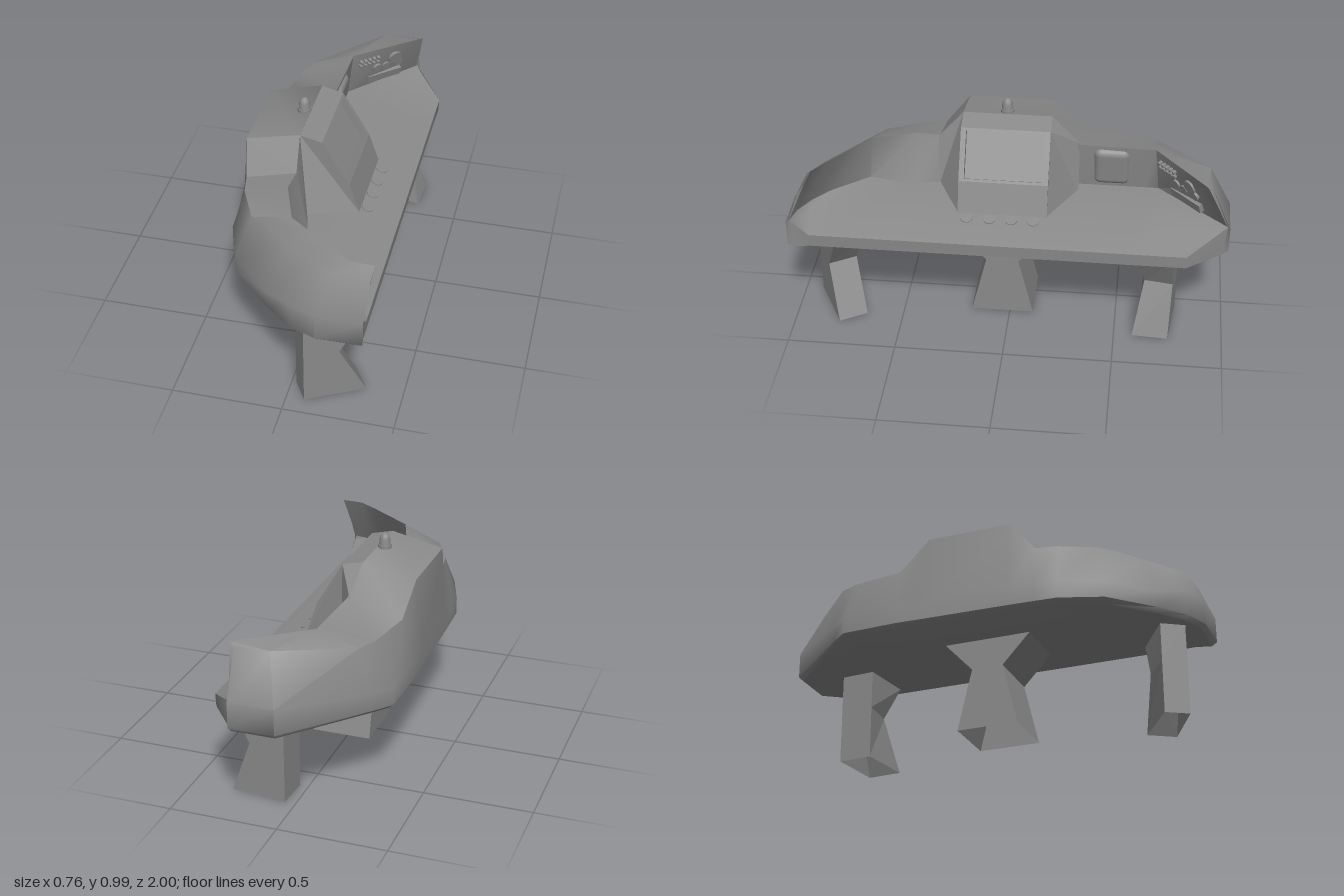
import * as THREE from 'three';
import { toCreasedNormals } from 'three/addons/utils/BufferGeometryUtils.js';
import { RoundedBoxGeometry } from 'three/addons/geometries/RoundedBoxGeometry.js';

const darkGrey = 0x8a8a8a;
const solid = new THREE.MeshStandardMaterial({ color: darkGrey });
const open = new THREE.MeshStandardMaterial({ color: darkGrey, side: THREE.DoubleSide });

function add(parent, name, geometry, x = 0, y = 0, z = 0, material = solid) {
  const mesh = new THREE.Mesh(geometry, material);
  mesh.name = name;
  mesh.position.set(x, y, z);
  parent.add(mesh);
  return mesh;
}

// Flat-shaded geometry from a list of polygons, each a list of [x, y, z]
function polygons(list) {
  const pos = [];
  for (const p of list)
    for (let i = 1; i < p.length - 1; i++) pos.push(...p[0], ...p[i], ...p[i + 1]);
  const g = new THREE.BufferGeometry();
  g.setAttribute('position', new THREE.Float32BufferAttribute(pos, 3));
  g.computeVertexNormals();
  return g;
}

// Plan of the wall from back to front, as [x, z]: outline, outer crease, inner rim, inner foot
const plan = [
  [[0.21, -1], [0.21, -0.905], [0.24, -0.89], [0.2, -0.99]],
  [[0, -1], [0.05, -0.9], [0.23, -0.885], [0.19, -0.98]],
  [[-0.31, -0.65], [-0.25, -0.65], [-0.06, -0.65], [-0.09, -0.67]],
  [[-0.375, -0.57], [-0.29, -0.56], [-0.06, -0.61], [-0.09, -0.61]],
  [[-0.385, -0.3], [-0.33, -0.31], [-0.07, -0.3], [-0.09, -0.3]],
  [[-0.38, -0.16], [-0.345, -0.16], [-0.1, -0.17], [-0.09, -0.17]],
  [[-0.37, 0.24], [-0.345, 0.24], [-0.1, 0.24], [-0.09, 0.24]],
  [[-0.365, 0.36], [-0.32, 0.35], [-0.09, 0.35], [-0.04, 0.36]],
  [[-0.36, 0.46], [-0.3, 0.45], [-0.1, 0.46], [-0.01, 0.47]],
  [[-0.29, 0.66], [-0.22, 0.62], [-0.03, 0.66], [-0.05, 0.68]],
  [[-0.1, 0.85], [-0.02, 0.77], [0.11, 0.765], [0.08, 0.84]],
  [[0.03, 0.955], [0.1, 0.86], [0.19, 0.825], [0.17, 0.915]],
  [[0.15, 1], [0.2, 0.92], [0.28, 0.885], [0.26, 0.965]],
  [[0.357, 0.998], [0.37, 0.93], [0.38, 0.89], [0.345, 0.985]],
];

// Closed cross-section: up the outer wall, over the rim, across the desk, down its edge
function section([[x, z], crease, rim, foot]) {
  const edgeZ = THREE.MathUtils.clamp(z, -0.81, 0.9);
  const hump = z > -0.2 && z < 0.3 ? 1 : 0;
  const creaseY = 0.737 + 0.133 * hump + (z < -0.9 ? 0.05 : 0);
  const t = Math.max(0.15, (0.16 - foot[0]) / (0.35 - foot[0]));
  const bend = [0.35 * t + foot[0] * (1 - t), 0.552, edgeZ * t + foot[1] * (1 - t)];
  return [
    [0.1 + (x - 0.1) * 0.95, 0.428, z * 0.978], [x, 0.45, z], [x, Math.abs(z) > 0.9 ? 0.57 : 0.53, z],
    [crease[0], creaseY, crease[1]], [rim[0], 0.798 + 0.127 * hump, rim[1]],
    [foot[0], 0.572, foot[1]], bend, [0.35, 0.498, edgeZ], [0.347, 0.438, edgeZ],
  ];
}

function bodyGeometry() {
  const rings = plan.map(section), n = rings[0].length, faces = [];
  for (let i = 0; i < rings.length - 1; i++)
    for (let k = 0; k < n; k++) {
      const m = (k + 1) % n;
      faces.push([rings[i][k], rings[i + 1][k], rings[i + 1][m], rings[i][m]]);
    }
  // End caps fan out from the foot of the wall
  const cap = (ring) => Array.from({ length: n }, (_, k) => ring[(k + 5) % n]);
  const end = cap(rings[rings.length - 1]);
  faces.push(cap(rings[0]), [end[0], ...end.slice(1).reverse()]);
  return toCreasedNormals(polygons(faces), 0.8);
}

// Monitor housing with flared cheeks and a sunken screen
function monitorGeometry() {
  const side = (zt, zw) => ({
    T: [-0.1, 0.924, zt], F: [0, 0.9, zt], M: [0.125, 0.69, zt], D: [0.175, 0.54, zt],
    wt: [-0.08, 0.8, zw], wb: [-0.04, 0.55, zw],
  });
  const a = side(-0.17, -0.3), b = side(0.24, 0.355);
  const outer = [a.F, b.F, b.M, a.M];
  const face = (u, v, depth) => [
    0.125 * v - 0.86 * depth, 0.9 - 0.21 * v - 0.51 * depth, -0.17 + 0.41 * u];
  const corners = [[0.06, 0.05], [0.94, 0.05], [0.94, 0.95], [0.06, 0.95]];
  const inner = corners.map(([u, v]) => face(u, v, 0));
  const sunk = corners.map(([u, v]) => face(u, v, 0.03));
  const list = [
    [b.T, b.wt, b.wb, b.D, b.M, b.F], [a.F, a.M, a.D, a.wb, a.wt, a.T],
    [a.T, b.T, b.F, a.F], [a.M, b.M, b.D, a.D], sunk,
  ];
  for (let i = 0; i < 4; i++) {
    const j = (i + 1) % 4;
    list.push([outer[i], outer[j], inner[j], inner[i]], [inner[i], inner[j], sunk[j], sunk[i]]);
  }
  return polygons(list);
}

// Hollow leg from rings of four [x, z] corners at given heights
function legGeometry(levels) {
  const list = [];
  const point = ([y, ring], k) => [ring[k][0], y, ring[k][1]];
  for (let i = 0; i < levels.length - 1; i++)
    for (let k = 0; k < 4; k++) {
      const m = (k + 1) % 4, low = levels[i], high = levels[i + 1];
      list.push([point(low, k), point(low, m), point(high, m), point(high, k)]);
    }
  return polygons(list);
}

export function createModel() {
  const model = new THREE.Group();
  model.name = 'controlDesk';
  add(model, 'deskBody', bodyGeometry(), 0, 0, 0, open);
  add(model, 'monitor', monitorGeometry(), 0, 0, 0, open);

  // Legs, each pinched at the waist
  const front = (x1, z1, x2, z2) => [[0.02, 0.82], [0.08, 0.92], [x1, z1], [x2, z2]];
  add(model, 'frontLeg', legGeometry([
    [0, front(0.333, 0.79, 0.26, 0.67)], [0.25, front(0.222, 0.847, 0.15, 0.73)],
    [0.44, front(0.333, 0.79, 0.26, 0.68)]]), 0, 0, 0, open);
  const middle = (z0, z1) => [[-0.11, z0], [-0.11, z1], [0.17, z1], [0.17, z0]];
  add(model, 'middleLeg', legGeometry([
    [0, middle(-0.11, 0.18)], [0.29, middle(-0.04, 0.11)],
    [0.44, middle(-0.18, 0.25)]]), 0, 0, 0, open);
  const back = (x1, z1, x2, z2) => [[0.05, -0.78], [0.04, -0.62], [x1, z1], [x2, z2]];
  add(model, 'backLeg', legGeometry([
    [0, back(0.3, -0.585, 0.31, -0.75)], [0.25, back(0.2, -0.63, 0.22, -0.76)],
    [0.44, back(0.3, -0.59, 0.31, -0.75)]]), 0, 0, 0, open);

  // Beacon on the hump
  add(model, 'beaconCollar', new THREE.CylinderGeometry(0.031, 0.031, 0.016, 24), -0.13, 0.928, 0.04);
  const dome = [[0.027, 0], [0.024, 0.035], [0.019, 0.05], [0.01, 0.059], [0, 0.061]];
  add(model, 'beaconDome', new THREE.LatheGeometry(dome.map(([r, y]) => new THREE.Vector2(r, y)), 24),
    -0.13, 0.93, 0.04);

  // Round buttons along the sloping desk top
  for (const z of [-0.11, -0.01, 0.09, 0.195])
    add(model, 'deskButton', new THREE.CylinderGeometry(0.027, 0.027, 0.014, 20), 0.2, 0.538, z)
      .rotation.z = -0.276;

  // Padded panel on the inner wall
  add(model, 'wallPad', new RoundedBoxGeometry(0.07, 0.2, 0.17, 5, 0.034), -0.095, 0.685, -0.45)
    .rotation.z = -0.13;

  // Instruments on the angled back panel; local x runs along it, z faces the operator
  const panel = new THREE.Group();
  panel.name = 'instrumentPanel';
  const along = new THREE.Vector3(0.29, 0, -0.27).normalize();
  const up = new THREE.Vector3(0.035, 0.23, 0.06);
  const out = new THREE.Vector3().crossVectors(along, up).normalize();
  up.crossVectors(out, along);
  panel.applyMatrix4(new THREE.Matrix4().makeBasis(along, up, out));
  panel.position.set(0.08, 0.685, -0.795);
  model.add(panel);
  for (let row = 0; row < 2; row++)
    for (let col = 0; col < 5; col++)
      add(panel, 'smallKey', new THREE.BoxGeometry(0.014, 0.012, 0.02),
        -0.16 + col * 0.024, 0.07 - row * 0.025, 0);
  for (const [x, y, r] of [[0.035, 0.04, 0.035], [-0.06, 0, 0.024], [-0.01, 0, 0.022], [0.06, 0, 0.024]])
    add(panel, 'dial', new THREE.CylinderGeometry(r, r, 0.024, 20), x, y, 0).rotation.x = Math.PI / 2;
  add(panel, 'tray', new THREE.BoxGeometry(0.19, 0.045, 0.024), -0.01, -0.07, 0);
  return model;
}
